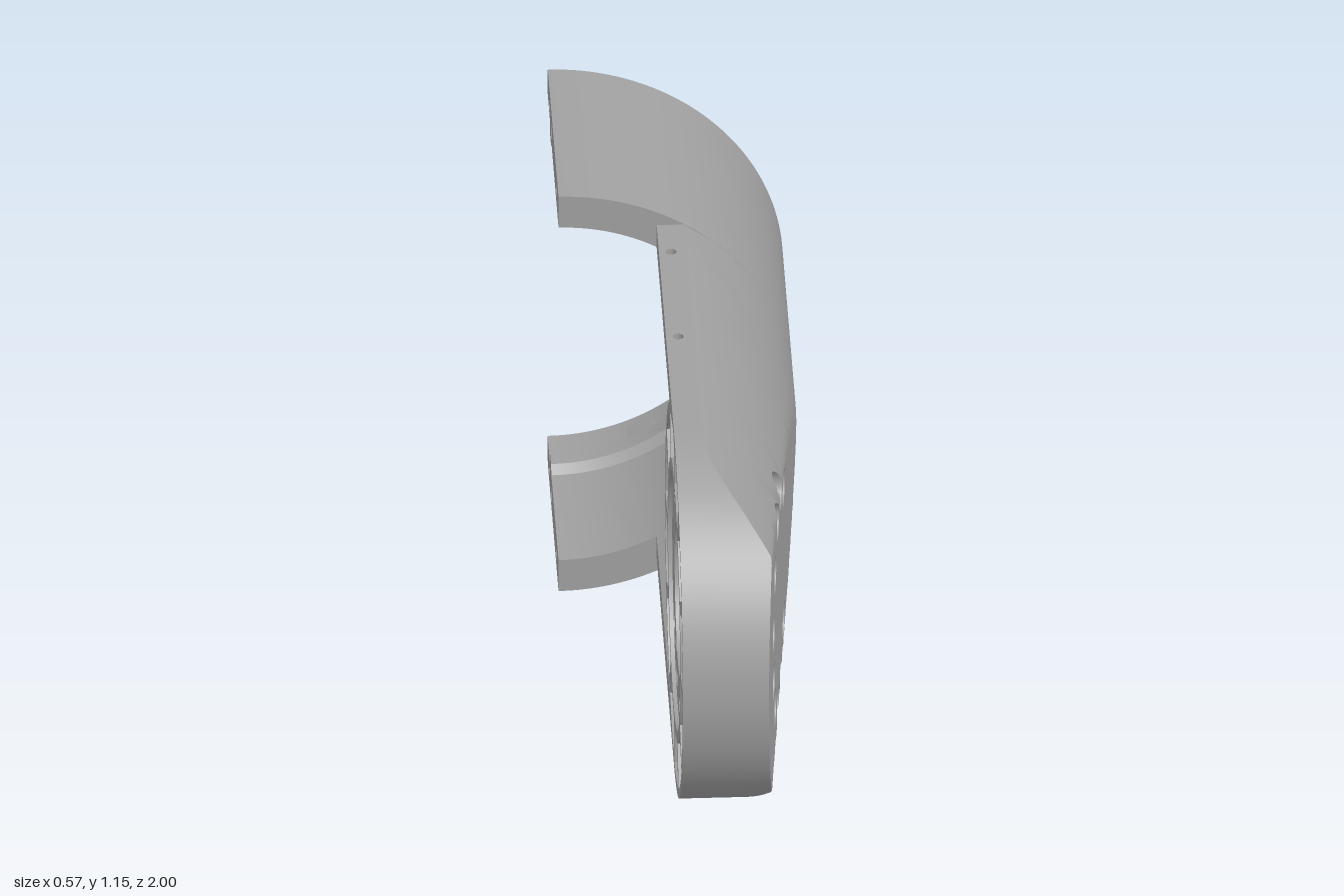
import * as THREE from 'three';
import { mergeGeometries, mergeVertices, toCreasedNormals } from 'three/addons/utils/BufferGeometryUtils.js';

const AX = -0.29, CY = 0.575, RO = 0.575, RI = 0.485; // pipe axis and radii
const CZ = 0.515, RD = 0.485, FACE = -0.05, RING_Z = -0.42; // drum end and open face
const FLOOR = 0.01, HUB = -0.04, BORE = 0.12;
const PI = Math.PI, rad = (d) => d * PI / 180;

// Outer skin: pipe surface cut by a sloping flat; v is the height from the axis
const outer = (v, z) => Math.min(AX + Math.sqrt(RO * RO - v * v), 0.285 - (z + 0.27) * 0.0984);
const inner = (v) => AX + Math.sqrt(RI * RI - v * v);

// Surface grid from a rule fn(u, v) -> [x, y, z]
function grid(nu, nv, fn) {
  const pos = [], idx = [], w = nv + 1;
  for (let i = 0; i <= nu; i++) for (let j = 0; j <= nv; j++) pos.push(...fn(i / nu, j / nv));
  for (let i = 0; i < nu; i++) for (let j = 0; j < nv; j++) {
    const a = i * w + j;
    idx.push(a, a + w, a + 1, a + w, a + w + 1, a + 1);
  }
  const g = new THREE.BufferGeometry();
  g.setAttribute('position', new THREE.Float32BufferAttribute(pos, 3));
  g.setIndex(idx);
  g.computeVertexNormals();
  return g;
}

const circle = (u, v, r) => new THREE.Path().absarc(u, v, r, 0, 2 * PI, false);
const disc = (r) => new THREE.Shape().absarc(0, 0, r, 0, 2 * PI, false);
const poly = (pts) => new THREE.Shape(pts.map((p) => new THREE.Vector2(...p)));

// Shape in (z, y) facing -x, optionally thickened from front to back
function sheet(shape, x, z = 0, y = CY) {
  return new THREE.ShapeGeometry(shape, 48).rotateY(-PI / 2).translate(x, y, z);
}
function slab(shape, front, back, z = 0) {
  const g = new THREE.ExtrudeGeometry(shape, { depth: back - front, bevelEnabled: false, curveSegments: 48 });
  return toCreasedNormals(g.rotateY(-PI / 2).translate(back, CY, z), 0.5);
}

export function createModel() {
  const root = new THREE.Group();
  root.name = 'jointShell';
  const grey = new THREE.MeshStandardMaterial({ color: 0xa0a0a0, side: THREE.DoubleSide });
  grey.name = 'machinedGrey';
  const add = (name, geo) => {
    const m = new THREE.Mesh(geo, grey);
    m.name = name;
    root.add(m);
    return m;
  };

  // Half-pipe collar with a stepped bore
  const profile = [[0.565, -1], [RO, -0.99], [RO, RING_Z], [RI, RING_Z], [RI, -0.8], [0.465, -0.82],
    [0.465, -0.87], [0.5, -0.88], [0.5, -1], [0.565, -1]];
  const lathe = new THREE.LatheGeometry(profile.map((p) => new THREE.Vector2(...p)), 96, 0, PI);
  add('collar', toCreasedNormals(lathe.rotateX(PI / 2).translate(AX, CY, 0), 0.5));

  // Collar end faces with dowel and screw holes
  for (const s of [1, -1]) {
    const cap = poly(profile.slice(0, -1).map(([r, z]) => [z, s * r]));
    for (const [z, r] of [[-0.9, 0.015], [-0.78, 0.022], [-0.52, 0.015]]) {
      cap.holes.push(circle(z, s * 0.53, r));
      const hole = new THREE.CylinderGeometry(r, r, 0.1, 20, 1, true).rotateZ(PI / 2);
      add('collarHole', hole.translate(AX + 0.05, CY + s * 0.53, z));
    }
    add('collarEndFace', sheet(cap, AX));
  }

  // Locating lugs inside the collar lip
  for (const a of [-62, -22, 22, 62]) {
    const lug = new THREE.BoxGeometry(0.035, 0.07, 0.05).translate(0.487, 0, -0.9);
    add('locatingLug', lug.rotateZ(rad(a)).translate(AX, CY, 0));
  }

  // Arm skin in polar rings around the drum centre
  const at = (r, t) => {
    const v = r * Math.sin(t), z = CZ + r * Math.cos(t);
    return [outer(v, z), CY + v, z];
  };
  const reach = (t) => Math.cos(t) >= 0 ? RD
    : Math.min(RD / Math.max(1e-6, Math.abs(Math.sin(t))), (CZ - RING_Z) / -Math.cos(t));
  const r0 = 0.17, r1 = 0.38, boltR = 0.274;
  const skin = [
    grid(144, 5, (u, v) => at(r0 * v, u * 2 * PI)),
    grid(144, 30, (u, v) => at(r1 + (reach(u * 2 * PI) - r1) * v, u * 2 * PI)),
  ];
  const bolts = [];
  for (let k = 0; k < 12; k++) {
    const mid = rad(15 + 30 * k), open = k !== 5 && k !== 6;
    const cu = boltR * Math.cos(mid), cv = boltR * Math.sin(mid), h = rad(15);
    if (open) bolts.push([cu, cv]);
    const rim = [];
    for (let i = 0; i < 12; i++) rim.push([r1, mid - h + 2 * h * i / 12]);
    for (let i = 0; i < 4; i++) rim.push([r1 + (r0 - r1) * i / 4, mid + h]);
    for (let i = 0; i < 12; i++) rim.push([r0, mid + h - 2 * h * i / 12]);
    for (let i = 0; i <= 4; i++) rim.push([r0 + (r1 - r0) * i / 4, mid - h]);
    // Each sector blends from the round hole to its border
    skin.push(grid(32, 4, (u, v) => {
      const [r, t] = rim[Math.round(u * 32)];
      const du = r * Math.cos(t) - cu, dv = r * Math.sin(t) - cv, l = Math.hypot(du, dv);
      const d = (open ? 0.048 / l : 0) * (1 - v) + v;
      const pu = cu + du * d, pv = cv + dv * d;
      return [outer(pv, CZ + pu), CY + pv, CZ + pu];
    }));
  }
  const skinGeo = mergeVertices(mergeGeometries(skin.map((g) => g.deleteAttribute('normal'))), 1e-4);
  skinGeo.computeVertexNormals();
  add('armSkin', skinGeo);

  // Rounded end wall, and drum wall facing the cavity
  const wall = (a, b) => grid(72, 1, (u, v) => {
    const [x, y, z] = at(RD, a + (b - a) * u);
    return [FACE + (x - FACE) * v, y, z];
  });
  add('roundedEndWall', wall(-PI / 2, PI / 2));
  add('drumWall', wall(PI / 2, 1.5 * PI));

  // Cavity lining, trimmed where it meets the drum
  const lim = Math.asin(Math.sqrt(RI * RI - 0.24 * 0.24) / RI);
  add('cavityLining', grid(64, 1, (u, v) => {
    const y = RI * Math.sin(lim * (2 * u - 1));
    const end = CZ - Math.sqrt(RD * RD - y * y);
    return [inner(y), CY + y, RING_Z + (end - RING_Z) * v];
  }));

  // Fillet from drum wall down to the lining
  add('drumFillet', grid(48, 8, (u, v) => {
    const s = 2 * u - 1, t = PI + s * rad(52), size = 0.1 * (1 - s * s * 0.8);
    const r = RD + size * v, y = r * Math.sin(t);
    return [inner(Math.max(-0.48, Math.min(0.48, y))) - size * (1 - v) ** 2, CY + y, CZ + r * Math.cos(t)];
  }));

  // Wedge in the middle of the cavity
  const wedge = new THREE.ExtrudeGeometry(poly([[-0.02, 0.05], [0.21, 0.05], [0.19, -0.14], [0.15, -0.14]]),
    { depth: 0.15, bevelEnabled: false });
  add('cavityWedge', wedge.rotateX(PI / 2).translate(0, CY + 0.075, 0));

  // Flat side walls with pin holes, and their rims on the open face
  const edge = outer(RD, 0), vin = RI * Math.sin(lim), a0 = PI - Math.asin(vin / RD);
  for (const s of [1, -1]) {
    const side = poly([[FACE, -RING_Z], [edge, -RING_Z], [edge, -CZ], [FACE, -CZ]]);
    for (const z of [-0.3, 0.08]) {
      side.holes.push(circle(-0.02, -z, 0.013));
      const pin = new THREE.CylinderGeometry(0.013, 0.013, 0.07, 16, 1, true);
      add('pinHole', pin.translate(-0.02, CY + s * (RD - 0.035), z));
    }
    add('sideWall', new THREE.ShapeGeometry(side, 16).rotateX(-PI / 2).translate(0, CY + s * RD, 0));
    const rim = [[RING_Z, s * vin], [RING_Z, s * RD]];
    for (let i = 0; i <= 16; i++) {
      const t = PI / 2 + (a0 - PI / 2) * i / 16;
      rim.push([CZ + RD * Math.cos(t), s * RD * Math.sin(t)]);
    }
    add('sideRim', sheet(poly(rim), FACE));
  }

  // Drum face: ring of twelve pockets
  const ring = disc(RD);
  ring.holes.push(circle(0, 0, 0.32));
  for (let k = 0; k < 12; k++) {
    const m = rad(15 + 30 * k), h = rad(12.5), p = new THREE.Path();
    p.absarc(0, 0, 0.46, m - h, m + h, false);
    p.absarc(0, 0, 0.35, m + h, m - h, true);
    p.closePath();
    ring.holes.push(p);
  }
  add('pocketRing', slab(ring, FACE, FLOOR, CZ));
  const floor = disc(RD);
  floor.holes.push(circle(0, 0, 0.32));
  add('pocketFloor', sheet(floor, FLOOR, CZ));

  // Hub plate with bolt holes and a blind central well
  const hub = disc(0.32);
  hub.holes.push(circle(0, 0, 0.19));
  for (const [u, v] of bolts) hub.holes.push(circle(u, v, 0.028));
  for (const a of [60, 120, 240, 300]) {
    hub.holes.push(circle(0.235 * Math.cos(rad(a)), 0.235 * Math.sin(rad(a)), 0.018));
  }
  add('hubPlate', slab(hub, HUB, FLOOR, CZ));
  const well = new THREE.CylinderGeometry(0.19, 0.19, 0.14 - HUB, 64, 1, true).rotateZ(PI / 2);
  add('centralWell', well.translate((0.14 + HUB) / 2, CY, CZ));
  add('wellFloor', sheet(disc(0.19), 0.14, CZ));

  // Counterbored through holes
  for (const [u, v] of bolts) {
    const tube = (r, x0, x1) => grid(32, 1, (a, b) => {
      const pu = u + r * Math.cos(a * 2 * PI), pv = v + r * Math.sin(a * 2 * PI);
      const top = x1 ?? outer(pv, CZ + pu);
      return [x0 + (top - x0) * b, CY + pv, CZ + pu];
    });
    add('counterbore', tube(0.048, BORE));
    add('boltBore', tube(0.028, HUB, BORE));
    const seat = disc(0.048);
    seat.holes.push(circle(0, 0, 0.028));
    add('boltSeat', sheet(seat, BORE, CZ + u, CY + v));
  }
  return root;
}
